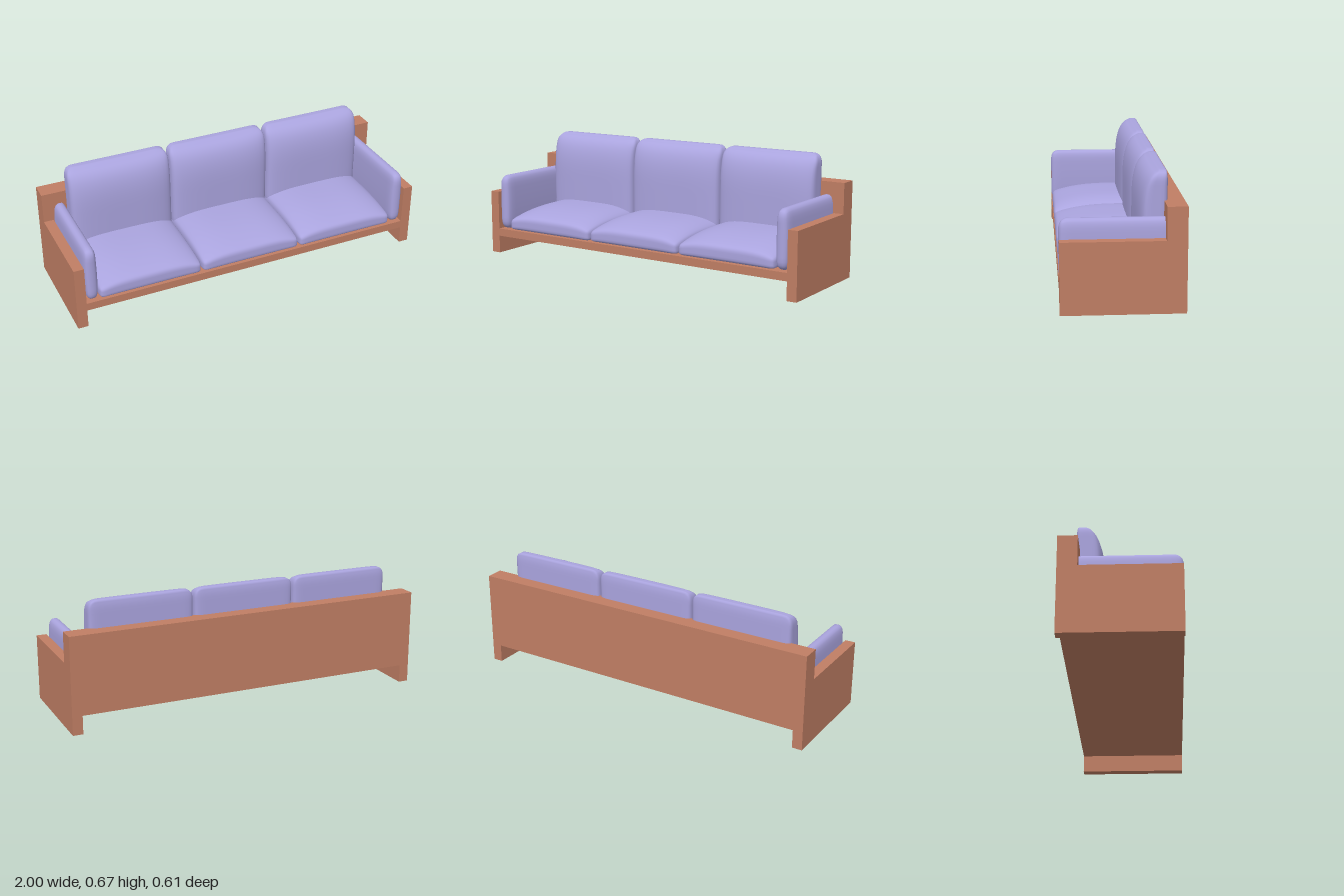
import * as THREE from 'three';
import { mergeVertices } from 'three/addons/utils/BufferGeometryUtils.js';

const wood = new THREE.MeshStandardMaterial({ color: 0xc07e64 });
const fabric = new THREE.MeshStandardMaterial({ color: 0xaaa4de });

// Box given by its two corners
function board(name, min, max) {
  const size = max.map((v, i) => v - min[i]);
  const mesh = new THREE.Mesh(new THREE.BoxGeometry(...size), wood);
  mesh.name = name;
  mesh.position.set(...max.map((v, i) => (v + min[i]) / 2));
  return mesh;
}

// Rounded box between two corners, with a radius per axis; shape(p, u) then
// bends each point p, u being its place from -1 to 1 on each axis
function cushion(name, min, max, radius, segments, shape) {
  const geo = new THREE.BoxGeometry(2, 2, 2, ...segments);
  geo.deleteAttribute('uv');
  geo.deleteAttribute('normal');
  const merged = mergeVertices(geo, 1e-4);
  const pos = merged.attributes.position;
  const half = max.map((v, i) => (v - min[i]) / 2);
  const d = new THREE.Vector3();
  for (let i = 0; i < pos.count; i++) {
    // denser rows near the edges
    const t = half.map((h, k) => h * Math.sin(pos.getComponent(i, k) * Math.PI / 2));
    const c = t.map((v, k) => THREE.MathUtils.clamp(v, radius[k] - half[k], half[k] - radius[k]));
    d.set(...t.map((v, k) => (v - c[k]) / radius[k])).normalize();
    const local = c.map((v, k) => v + radius[k] * d.getComponent(k));
    const p = local.map((v, k) => v + (min[k] + max[k]) / 2);
    shape(p, local.map((v, k) => v / half[k]));
    pos.setXYZ(i, ...p);
  }
  merged.computeVertexNormals();
  const mesh = new THREE.Mesh(merged, fabric);
  mesh.name = name;
  return mesh;
}

// Seat: crowned across, sloping down toward the front
function shapeSeat(p, u) {
  const q = Math.max(0, (p[2] + 0.1) / 0.4);
  p[1] = 0.145 + (p[1] - 0.145) * (1 - 0.33 * u[0] ** 4) * (1 - 0.4 * q ** 3);
}

// Back cushion: flat rear, front bulging and curling back at the top
function shapeBack(p, u) {
  const q = THREE.MathUtils.clamp((p[1] - 0.4) / 0.27, 0, 1);
  const curl = Math.max(0.4, (1 - q ** 3) ** 0.32);
  p[2] = -0.225 + (p[2] + 0.225) * curl * (1 - 0.17 * u[0] ** 4);
}

// Arm cushion: slightly thinner toward top and bottom
function shapeArm(p, u) {
  const mid = Math.sign(p[0]) * 0.905;
  p[0] = mid + (p[0] - mid) * (1 - 0.15 * u[1] ** 2);
}

export function createModel() {
  const sofa = new THREE.Group();
  sofa.name = 'sofa';

  // Frame: deck, back panel and stepped end panels reaching the floor
  sofa.add(board('deck', [-0.945, 0.1, -0.205], [0.945, 0.143, 0.305]));
  sofa.add(board('backPanel', [-0.945, 0.1, -0.305], [0.945, 0.525, -0.205]));
  const outline = [[-0.305, 0], [0.205, 0], [0.205, 0.36], [0.205, 0.525], [0.305, 0.525], [0.305, 0]];
  outline.splice(1, 2, [-0.305, 0.36], [0.205, 0.36]);
  const profile = new THREE.Shape(outline.map(([a, b]) => new THREE.Vector2(a, b)));
  for (const side of [-1, 1]) {
    const geo = new THREE.ExtrudeGeometry(profile, { depth: 0.055, bevelEnabled: false });
    const end = new THREE.Mesh(geo.rotateY(Math.PI / 2), wood);
    end.name = side > 0 ? 'leftEndPanel' : 'rightEndPanel';
    end.position.x = side > 0 ? 0.945 : -1;
    sofa.add(end);

    const x = side * 0.905;
    sofa.add(cushion(side > 0 ? 'leftArmCushion' : 'rightArmCushion',
      [x - 0.036, 0.145, -0.25], [x + 0.036, 0.457, 0.306], [0.028, 0.05, 0.045], [8, 16, 18], shapeArm));
  }

  // Three seat and back cushions
  for (const i of [-1, 0, 1]) {
    const x = i * 0.581;
    sofa.add(cushion('seatCushion', [x - 0.286, 0.144, -0.205], [x + 0.286, 0.281, 0.302],
      [0.025, 0.035, 0.03], [20, 10, 18], shapeSeat));
    sofa.add(cushion('backCushion', [x - 0.286, 0.18, -0.225], [x + 0.286, 0.67, -0.083],
      [0.045, 0.05, 0.025], [20, 24, 10], shapeBack));
  }
  return sofa;
}
